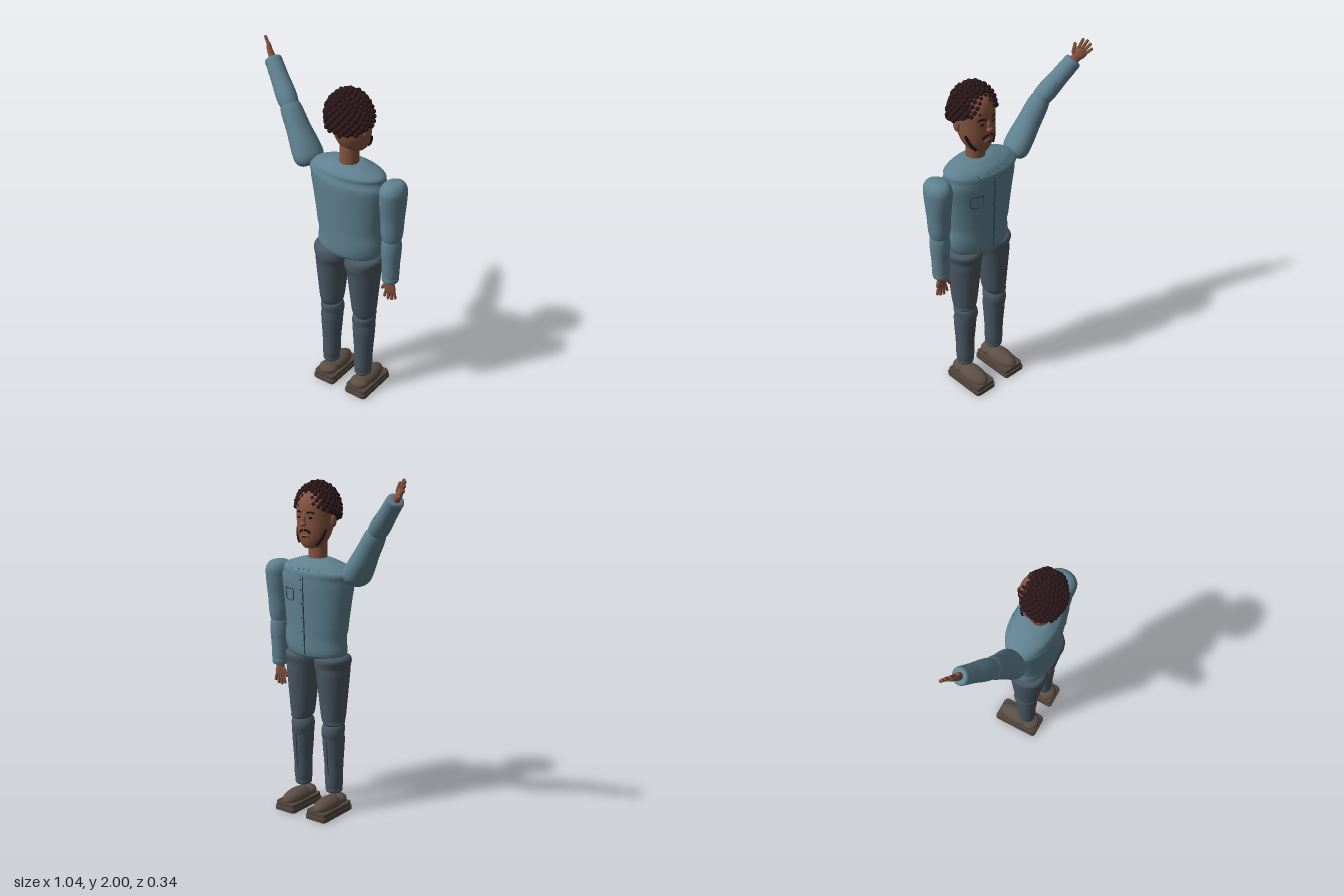
import * as THREE from 'three';
import { mergeVertices, mergeGeometries } from 'three/addons/utils/BufferGeometryUtils.js';

const mat = (name, color) => Object.assign(new THREE.MeshStandardMaterial({ color }), { name });
const shirt = mat('shirt blue', 0x5f8190);
const shirtDark = mat('stitching', 0x2b4450);
const denim = mat('trouser grey', 0x4a5763);
const denimDark = mat('trouser seam', 0x2c343d);
const skin = mat('skin', 0x855440);
const hair = mat('hair', 0x2c181a);
const ink = mat('facial hair', 0x1b1111);
const leather = mat('shoe leather', 0x5c4f45);
const sole = mat('shoe sole', 0x51453c);

function add(parent, name, geometry, material, x = 0, y = 0, z = 0) {
  const m = new THREE.Mesh(geometry, material);
  m.name = name;
  m.position.set(x, y, z);
  parent.add(m);
  return m;
}

// Smooth elliptical loft from rising rows of [y, rx, rz, cx, cz]
function loft(rows, steps = 5, segs = 32) {
  const size = new THREE.CatmullRomCurve3(rows.map(r => new THREE.Vector3(r[0], r[1], r[2])));
  const mid = new THREE.CatmullRomCurve3(rows.map(r => new THREE.Vector3(r[3] || 0, 0, r[4] || 0)));
  const n = (rows.length - 1) * steps;
  const g = new THREE.LatheGeometry(Array.from({ length: n + 1 }, (_, i) => new THREE.Vector2(1, i)), segs);
  const p = g.attributes.position;
  for (let i = 0; i < p.count; i++) {
    const t = Math.round(p.getY(i)) / n, s = size.getPoint(t), c = mid.getPoint(t);
    p.setXYZ(i, c.x + p.getX(i) * Math.max(0, s.y), s.x, c.z + p.getZ(i) * Math.max(0, s.z));
  }
  g.deleteAttribute('uv');
  g.deleteAttribute('normal');
  const out = mergeVertices(g, 1e-5);
  out.computeVertexNormals();
  return out;
}

function ball(parent, name, material, pos, scale) {
  const m = add(parent, name, new THREE.SphereGeometry(1, 24, 16), material, ...pos);
  m.scale.set(...scale);
  return m;
}

function tube(parent, name, material, pts, r, closed = false) {
  const c = new THREE.CatmullRomCurve3(pts.map(p => new THREE.Vector3(...p)), closed, 'catmullrom', 0.2);
  return add(parent, name, new THREE.TubeGeometry(c, pts.length * 6, r, 6, closed), material);
}

const torsoRows = [
  [0.935, 0, 0, 0.18, 0.015], [0.94, 0.15, 0.09, 0.18, 0.015], [0.965, 0.192, 0.118, 0.18, 0.015],
  [1.1, 0.2, 0.123, 0.18, 0.015], [1.27, 0.22, 0.13, 0.175, 0.015], [1.4, 0.236, 0.135, 0.172, 0.015],
  [1.455, 0.222, 0.124, 0.172, 0.015], [1.49, 0.14, 0.09, 0.175, 0.018], [1.505, 0.08, 0.06, 0.178, 0.02],
  [1.507, 0, 0, 0.178, 0.02]];

// Point on the chest side of the torso
function chest(x, y) {
  const i = Math.max(1, torsoRows.findIndex(r => r[0] >= y));
  const a = torsoRows[i - 1], b = torsoRows[i], t = (y - a[0]) / (b[0] - a[0]);
  const [, rx, rz, cx, cz] = a.map((v, k) => v + (b[k] - v) * t);
  return [x, y, cz - rz * Math.sqrt(Math.max(0, 1 - ((x - cx) / rx) ** 2)) - 0.001];
}

function makeTorso(g) {
  add(g, 'torso', loft(torsoRows), shirt);
  // Front opening, buttons, pocket and collar
  const ys = [0.97, 1.04, 1.12, 1.2, 1.28, 1.36, 1.42, 1.46];
  tube(g, 'placket', shirtDark, ys.map(y => chest(0.177, y)), 0.004);
  for (const y of ys.slice(1, 7)) ball(g, 'button', shirtDark, chest(0.19, y - 0.02), [0.005, 0.005, 0.004]);
  const pocket = [[0.25, 1.335], [0.285, 1.335], [0.32, 1.335], [0.32, 1.285], [0.31, 1.27], [0.285, 1.265],
    [0.26, 1.27], [0.25, 1.285]];
  tube(g, 'pocket', shirtDark, pocket.map(p => chest(...p)), 0.003, true);
  for (const s of [-1, 1]) {
    const flap = [[0.01, 1.475], [0.04, 1.45], [0.075, 1.43], [0.095, 1.45], [0.105, 1.475]];
    tube(g, 'collarFlap', shirtDark, flap.map(([x, y]) => chest(0.177 + s * x, y)), 0.003);
  }
}

function makeHead(g) {
  const X = 0.188;
  add(g, 'neck', new THREE.CylinderGeometry(0.053, 0.053, 0.14, 32), skin, 0.18, 1.545, 0.026);
  add(g, 'head', loft([
    [1.565, 0, 0, X, -0.015], [1.57, 0.045, 0.045, X, -0.015], [1.6, 0.078, 0.074, X, -0.002],
    [1.66, 0.1, 0.095, X, 0.01], [1.73, 0.106, 0.103, X, 0.016], [1.81, 0.104, 0.103, X, 0.018],
    [1.87, 0.075, 0.08, X, 0.025], [1.9, 0, 0, X, 0.03]]), skin);
  // Face
  ball(g, 'noseBridge', skin, [X, 1.725, -0.086], [0.011, 0.032, 0.014]);
  ball(g, 'noseTip', skin, [X, 1.705, -0.094], [0.018, 0.014, 0.016]);
  ball(g, 'lips', skin, [X, 1.636, -0.079], [0.027, 0.01, 0.011]);
  tube(g, 'mouth', ink, [[X - 0.025, 1.637, -0.08], [X, 1.635, -0.091], [X + 0.025, 1.637, -0.08]], 0.003);
  for (const s of [-1, 1]) {
    const x = v => X + s * v;
    ball(g, 'ear', skin, [x(0.106), 1.715, 0.04], [0.014, 0.035, 0.022]);
    ball(g, 'eye', ink, [x(0.038), 1.74, -0.079], [0.014, 0.007, 0.005]);
    tube(g, 'eyebrow', ink, [[x(0.018), 1.765, -0.087], [x(0.04), 1.772, -0.08], [x(0.06), 1.764, -0.068]], 0.005);
    tube(g, 'moustache', ink, [[x(0.002), 1.672, -0.088], [x(0.022), 1.668, -0.084], [x(0.036), 1.654, -0.076]], 0.006);
    tube(g, 'jawBeard', ink, [[x(0.098), 1.675, -0.016], [x(0.09), 1.64, -0.031], [x(0.076), 1.61, -0.042],
      [x(0.058), 1.588, -0.052]], 0.009);
  }
  // Hair cap cut along a sloping hairline, covered in curls
  const C = [X, 1.765, 0.04], R = [0.133, 0.155, 0.113];
  const line = z => 1.765 - 0.43 * z;
  const cap = new THREE.SphereGeometry(1, 40, 28);
  const p = cap.attributes.position;
  for (let i = 0; i < p.count; i++) {
    const z = C[2] + p.getZ(i) * R[2];
    p.setXYZ(i, C[0] + p.getX(i) * R[0], Math.max(C[1] + p.getY(i) * R[1], line(z)), z);
  }
  cap.computeVertexNormals();
  add(g, 'hairCap', cap, hair);
  const curls = [], N = 340;
  for (let i = 0; i < N; i++) {
    const v = 1 - 2 * (i + 0.5) / N, r = Math.sqrt(1 - v * v), a = i * 2.39996;
    const k = 1 + 0.025 * Math.sin(i * 12.9);
    const y = C[1] + v * R[1] * k, z = C[2] + r * Math.sin(a) * R[2] * k;
    if (y < line(z) + 0.003) continue;
    curls.push(new THREE.SphereGeometry(0.0135, 10, 8).translate(C[0] + r * Math.cos(a) * R[0] * k, y, z));
  }
  add(g, 'curls', mergeGeometries(curls), hair);
}

// Arm hanging along -y, aimed from shoulder to elbow and elbow to wrist
function makeArm(g, name, shoulder, upperDir, foreDir) {
  const down = new THREE.Vector3(0, -1, 0);
  const part = (label, pos, dir) => {
    const o = new THREE.Group();
    o.name = name + label;
    o.position.copy(pos);
    o.quaternion.setFromUnitVectors(down, dir);
    g.add(o);
    return o;
  };
  const S = new THREE.Vector3(...shoulder);
  const u = new THREE.Vector3(...upperDir).normalize(), f = new THREE.Vector3(...foreDir).normalize();
  const upper = part('Upper', S, u);
  add(upper, 'upperSleeve', loft([
    [-0.33, 0, 0], [-0.322, 0.042, 0.044], [-0.29, 0.056, 0.058], [-0.17, 0.064, 0.069], [-0.05, 0.07, 0.086],
    [0, 0.067, 0.086], [0.033, 0.048, 0.062], [0.045, 0, 0]]), shirt);
  const fore = part('Fore', S.clone().addScaledVector(u, 0.31), f);
  add(fore, 'lowerSleeve', loft([
    [-0.262, 0, 0], [-0.26, 0.04, 0.04], [-0.15, 0.05, 0.051], [-0.02, 0.054, 0.056], [0.025, 0.04, 0.042],
    [0.035, 0, 0]]), shirt);
  add(fore, 'cuff', loft([
    [-0.272, 0, 0], [-0.27, 0.04, 0.04], [-0.262, 0.046, 0.047], [-0.236, 0.047, 0.048], [-0.228, 0.042, 0.043],
    [-0.226, 0, 0]], 3), shirt);
  tube(fore, 'sleeveSeam', shirtDark, [[0, -0.12, -0.052], [0.012, -0.1, -0.052], [0, -0.08, -0.054]], 0.002);
  // Hand with the thumb on the inner side
  add(fore, 'palm', loft([
    [-0.348, 0, 0], [-0.344, 0.03, 0.01], [-0.32, 0.036, 0.015], [-0.29, 0.028, 0.018], [-0.26, 0.022, 0.02],
    [-0.255, 0, 0]], 4, 20), skin);
  for (let i = 0; i < 4; i++) {
    const a = (i - 1.5) * 0.16, len = [0.042, 0.052, 0.048, 0.034][i];
    const m = add(fore, 'finger', new THREE.CapsuleGeometry(0.0085, len, 4, 10), skin,
      (i - 1.5) * 0.02, -0.34 - len / 2, -0.003);
    m.rotation.z = a;
  }
  const thumb = add(fore, 'thumb', new THREE.CapsuleGeometry(0.0095, 0.045, 4, 10), skin, -0.042, -0.318, -0.006);
  thumb.rotation.z = -0.5;
}

function makeLeg(g, top, knee, foot) {
  add(g, 'thigh', loft([
    [0.535, 0, 0, knee, 0.016], [0.54, 0.052, 0.058, knee, 0.016], [0.565, 0.064, 0.071, knee, 0.016],
    [0.7, 0.08, 0.088, (knee + top) / 2, 0.018], [0.86, 0.096, 0.104, top, 0.02], [0.935, 0.104, 0.11, top, 0.02],
    [0.955, 0.085, 0.09, top, 0.02], [0.958, 0, 0, top, 0.02]]), denim);
  add(g, 'shin', loft([
    [0.135, 0, 0, foot, 0.02], [0.137, 0.042, 0.045, foot, 0.02], [0.3, 0.054, 0.058, foot, 0.018],
    [0.46, 0.064, 0.068, knee, 0.016], [0.54, 0.061, 0.066, knee, 0.016], [0.565, 0, 0, knee, 0.016]]), denim);
  add(g, 'trouserHem', loft([
    [0.126, 0, 0, foot, 0.02], [0.127, 0.043, 0.046, foot, 0.02], [0.135, 0.048, 0.051, foot, 0.02],
    [0.152, 0.048, 0.051, foot, 0.02], [0.16, 0.042, 0.045, foot, 0.02], [0.161, 0, 0, foot, 0.02]], 3), denim);
  tube(g, 'shinSeam', denimDark, [[foot, 0.17, -0.028], [foot, 0.3, -0.041], [knee, 0.45, -0.052]], 0.003);
  // Shoe: two rounded slabs with a heel dome and a toe dome
  const slab = (name, hw, z0, z1, y, h) => {
    const r = 0.018, s = new THREE.Shape();
    s.moveTo(-hw + r, z0);
    s.absarc(hw - r, z0 + r, r, -Math.PI / 2, 0);
    s.absarc(hw - r, z1 - r, r, 0, Math.PI / 2);
    s.absarc(-hw + r, z1 - r, r, Math.PI / 2, Math.PI);
    s.absarc(-hw + r, z0 + r, r, Math.PI, Math.PI * 1.5);
    const e = new THREE.ExtrudeGeometry(s, { depth: h - 0.008, bevelThickness: 0.004, bevelSize: 0.003, bevelSegments: 2 });
    add(g, name, e.rotateX(-Math.PI / 2), sole, foot, y + 0.004, 0);
  };
  slab('outsole', 0.069, -0.107, 0.167, 0, 0.027);
  slab('midsole', 0.066, -0.1, 0.16, 0.026, 0.026);
  ball(g, 'shoeToe', leather, [foot, 0.06, -0.042], [0.058, 0.05, 0.12]);
  ball(g, 'shoeHeel', leather, [foot, 0.07, 0.05], [0.057, 0.033, 0.056]);
}

export function createModel() {
  const root = new THREE.Group();
  root.name = 'wavingMan';
  const group = (name, build, ...args) => {
    const g = new THREE.Group();
    g.name = name;
    root.add(g);
    build(g, ...args);
  };
  group('body', makeTorso);
  group('headGroup', makeHead);
  group('leftArm', makeArm, 'left', [0.456, 1.42, 0.015], [0, -1, 0], [0, -1, 0]);
  group('rightArm', makeArm, 'right', [-0.097, 1.43, 0.01], [-0.155, 0.26, -0.03], [-0.18, 0.21, -0.08]);
  group('leftLeg', makeLeg, 0.285, 0.29, 0.292);
  group('rightLeg', makeLeg, 0.071, 0.065, 0.065);
  return root;
}
